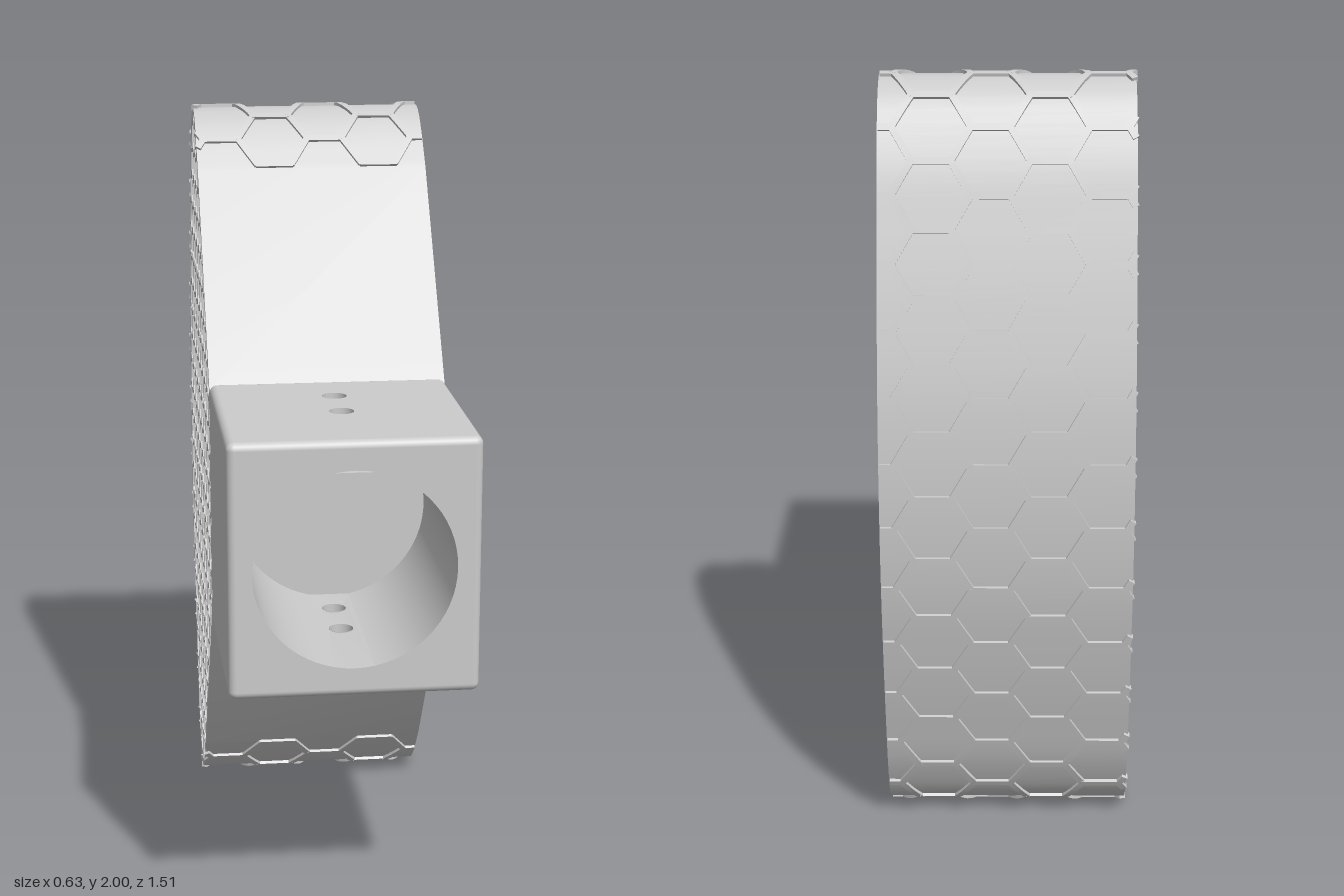
import * as THREE from 'three';
import { mergeGeometries, toCreasedNormals } from 'three/addons/utils/BufferGeometryUtils.js';
import { RoundedBoxGeometry } from 'three/addons/geometries/RoundedBoxGeometry.js';

const V2 = (x, y) => new THREE.Vector2(x, y);
const V3 = (x, y, z) => new THREE.Vector3(x, y, z);
const MID = 1.004, HALF = 0.315;            // mid height, half width
const BOX = { mid: 1.002, y: 0.33, z0: 0.14, z1: 0.755, r: 0.02 };
const BORE = { r: 0.255, z0: 0.2 };
const PIN_R = 0.032, PINS = [0.305, 0.465];
const RIM = 0.02, CELL = 0.055, WEB = 0.006;  // honeycomb sizes

// Upper half of the bow profile as [z, y], mirrored about MID
const upper = [[-0.22, 1.845], [-0.3, 1.932], [-0.36, 1.98], [-0.42, 1.994], [-0.5, 1.955],
  [-0.575, 1.835], [-0.635, 1.66], [-0.69, 1.455], [-0.732, 1.24]];
const lower = upper.map(([z, y]) => [z, 2 * MID - y]).reverse();
const bow = new THREE.CatmullRomCurve3([...upper, [-0.747, MID], ...lower].map(([z, y]) => V3(0, y, z)));
bow.arcLengthDivisions = 400;

function hexagon(cx, cy, r, turn = 0) {
  return Array.from({ length: 6 }, (_, k) =>
    V2(cx + r * Math.cos(turn + k * Math.PI / 3), cy + r * Math.sin(turn + k * Math.PI / 3)));
}

// Cut a polygon by every edge of a convex counter-clockwise outline, moved inward by inset
function clip(poly, outline, inset) {
  for (let i = 0; i < outline.length && poly.length; i++) {
    const a = outline[i], d = outline[(i + 1) % outline.length].clone().sub(a).normalize();
    const dist = p => d.x * (p.y - a.y) - d.y * (p.x - a.x) - inset;
    const out = [];
    poly.forEach((p, k) => {
      const q = poly[(k + 1) % poly.length], dp = dist(p), dq = dist(q);
      if (dp >= 0) out.push(p);
      if ((dp >= 0) !== (dq >= 0)) out.push(p.clone().lerp(q, dp / (dp - dq)));
    });
    poly = out;
  }
  return poly;
}

// Bow-shaped body pierced from side to side by hexagonal cells
function honeycombBody() {
  const back = bow.getSpacedPoints(90).map(p => V2(-p.z, p.y));
  const outline = [V2(-0.155, MID + 0.316), ...back, V2(-0.155, MID - 0.316)].reverse();
  const shape = new THREE.Shape(outline);
  const pitch = Math.sqrt(3) * CELL;
  for (let i = -3; i <= 9; i++) for (let j = -13; j <= 13; j++) {
    const cell = hexagon((i + (j & 1) / 2) * pitch, MID + j * 1.5 * CELL, CELL - WEB, Math.PI / 6);
    const cut = clip(cell, outline, RIM);
    if (cut.length > 2 && Math.abs(THREE.ShapeUtils.area(cut)) > 0.0004) shape.holes.push(new THREE.Path(cut));
  }
  const geo = new THREE.ExtrudeGeometry(shape, { depth: 2 * HALF, bevelEnabled: false });
  geo.rotateY(Math.PI / 2).translate(-HALF, 0, 0);
  return toCreasedNormals(geo, 0.5);
}

// Raised hexagonal ribs wrapped around the curved back
function backRibs() {
  const R = 0.096, pitch = Math.sqrt(3) * R, length = bow.getLength(), edge = HALF - 0.005, parts = [];
  // Shorten the end of a segment that runs past the side of the body
  const trim = (from, to) => Math.abs(to.x) <= edge ? to
    : from.clone().lerp(to, (Math.sign(to.x) * edge - from.x) / (to.x - from.x));
  const bend = (x, s, lift) => {
    const u = THREE.MathUtils.clamp(0.5 + s / length, 0, 1);
    const normal = V3(1, 0, 0).cross(bow.getTangentAt(u)).normalize();
    return bow.getPointAt(u).addScaledVector(normal, lift).setX(x);
  };
  for (let i = -3; i <= 3; i++) for (let j = -11; j <= 11; j++) {
    const hex = hexagon(0.04 + i * 1.5 * R, (j + (i & 1) / 2) * pitch, R);
    for (let k = 0; k < 3; k++) {
      const [p, q] = [hex[k], hex[k + 1]];
      if (Math.abs(p.x) > edge && Math.abs(q.x) > edge) continue;
      if (Math.max(Math.abs(p.y), Math.abs(q.y)) > length / 2) continue;
      const a = trim(q, p), b = trim(p, q), len = a.distanceTo(b);
      const dir = b.clone().sub(a).normalize(), mid = a.clone().lerp(b, 0.5);
      const rib = new THREE.BoxGeometry(0.017, len + 0.006, 0.016, 1, 5, 1), pos = rib.attributes.position;
      for (let n = 0; n < pos.count; n++) {
        const across = pos.getX(n), along = pos.getY(n);
        const v = bend(mid.x + dir.y * across + dir.x * along, mid.y - dir.x * across + dir.y * along, pos.getZ(n));
        pos.setXYZ(n, v.x, v.y, v.z);
      }
      rib.computeVertexNormals();
      parts.push(rib);
    }
  }
  return mergeGeometries(parts);
}

// Rounded block shell without the flat front, top and bottom panels
function blockShell(depth) {
  const geo = new RoundedBoxGeometry(2 * HALF, 2 * BOX.y, depth, 3, BOX.r);
  const src = geo.index ? geo.toNonIndexed() : geo, pos = src.attributes.position, nor = src.attributes.normal;
  const P = [], N = [], tri = new THREE.Triangle(), n = V3(0, 0, 0);
  for (let i = 0; i < pos.count; i += 3) {
    tri.setFromAttributeAndIndices(pos, i, i + 1, i + 2);
    tri.getNormal(n);
    if (tri.getArea() > 0.08 && (Math.abs(n.y) > 0.99 || n.z > 0.99)) continue;
    for (let k = i; k < i + 3; k++) {
      P.push(pos.getX(k), pos.getY(k), pos.getZ(k));
      N.push(nor.getX(k), nor.getY(k), nor.getZ(k));
    }
  }
  const out = new THREE.BufferGeometry();
  out.setAttribute('position', new THREE.Float32BufferAttribute(P, 3));
  out.setAttribute('normal', new THREE.Float32BufferAttribute(N, 3));
  return out;
}

// Flat rectangle with round holes given as [x, y, radius]
function panel(w, h, holes) {
  const shape = new THREE.Shape([V2(-w / 2, -h / 2), V2(w / 2, -h / 2), V2(w / 2, h / 2), V2(-w / 2, h / 2)]);
  for (const [x, y, r] of holes) shape.holes.push(new THREE.Path().absarc(x, y, r, 0, 2 * Math.PI, true));
  return new THREE.ShapeGeometry(shape, 32);
}

export function createModel() {
  const model = new THREE.Group();
  const solid = new THREE.MeshStandardMaterial({ color: 0xcccccc });
  const open = new THREE.MeshStandardMaterial({ color: 0xcccccc, side: THREE.DoubleSide });
  const add = (parent, name, geo, mat = solid) => {
    const mesh = new THREE.Mesh(geo, mat);
    mesh.name = name;
    parent.add(mesh);
  };

  add(model, 'honeycombBody', honeycombBody());
  add(model, 'backRibs', backRibs());

  // Handle block, local origin at its centre
  const block = new THREE.Group();
  block.name = 'handleBlock';
  const depth = BOX.z1 - BOX.z0, zc = (BOX.z1 + BOX.z0) / 2;
  block.position.set(0, BOX.mid, zc);
  model.add(block);
  const w = 2 * (HALF - BOX.r), h = 2 * (BOX.y - BOX.r), d = depth - 2 * BOX.r;
  add(block, 'blockShell', blockShell(depth));
  add(block, 'frontPanel', panel(w, h, [[0, 0, BORE.r]]).translate(0, 0, depth / 2), open);

  // Bore: two plain arcs, plus a pierced strip at the top and bottom
  const boreLen = BOX.z1 - BORE.z0, boreMid = (BOX.z1 + BORE.z0) / 2 - zc, arc = 0.2;
  const wall = new THREE.CylinderGeometry(BORE.r, BORE.r, boreLen, 40, 1, true, arc, Math.PI - 2 * arc);
  wall.rotateX(-Math.PI / 2).translate(0, 0, boreMid);
  const strip = panel(2 * BORE.r * Math.sin(arc), boreLen, PINS.map(z => [0, boreMid + zc - z, PIN_R]));
  strip.rotateX(-Math.PI / 2).translate(0, 0, boreMid);
  const sp = strip.attributes.position;
  for (let i = 0; i < sp.count; i++) sp.setY(i, Math.sqrt(BORE.r ** 2 - sp.getX(i) ** 2));
  strip.computeVertexNormals();
  for (const turn of [0, Math.PI]) {
    const side = turn ? 'lower' : 'upper';
    const half = new THREE.Group();
    half.name = side + 'Half';
    half.rotation.z = turn;
    block.add(half);
    const facing = panel(w, d, PINS.map(z => [0, zc - z, PIN_R]));
    add(half, side + 'Panel', facing.rotateX(-Math.PI / 2).translate(0, BOX.y, 0), open);
    add(half, side + 'BoreStrip', strip, open);
    PINS.forEach(z => {
      const len = BOX.y - BORE.r + 0.002;
      const pin = new THREE.CylinderGeometry(PIN_R, PIN_R, len, 24, 1, true);
      add(half, side + 'PinHole', pin.translate(0, BOX.y - len / 2, z - zc), open);
    });
    add(half, side + 'BoreWall', wall, open);
  }
  add(block, 'boreEnd', new THREE.CircleGeometry(BORE.r, 64).translate(0, 0, BORE.z0 - zc), open);
  return model;
}
